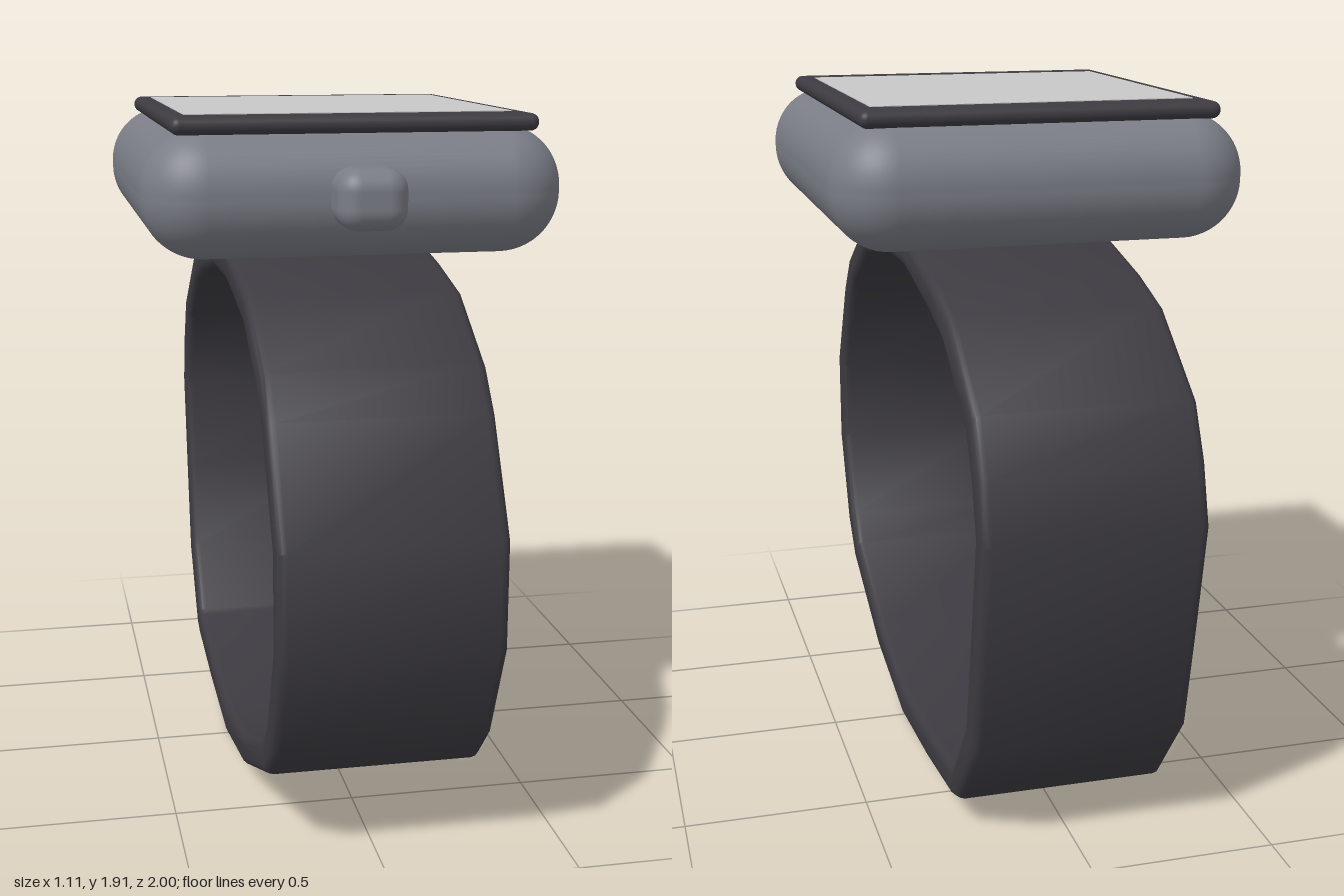
import * as THREE from 'three';
import { toCreasedNormals } from 'three/addons/utils/BufferGeometryUtils.js';
import { RoundedBoxGeometry } from 'three/addons/geometries/RoundedBoxGeometry.js';

const mat = (name, color) => {
  const m = new THREE.MeshStandardMaterial({ color });
  m.name = name;
  return m;
};

export function createModel() {
  const group = new THREE.Group();
  group.name = 'wristwatch';
  const metal = mat('greyMetal', 0x7a7d86);
  const rubber = mat('darkRubber', 0x3d3b41);
  const display = mat('paleDisplay', 0xc8c8c8);

  const add = (name, geometry, material, x = 0, y = 0, z = 0) => {
    const mesh = new THREE.Mesh(geometry, material);
    mesh.name = name;
    mesh.position.set(x, y, z);
    group.add(mesh);
    return mesh;
  };

  // Case, glass plate, display and crown
  add('case', new RoundedBoxGeometry(1.11, 0.335, 1.235, 8, 0.16), metal, 0, 1.715, 0.008);
  add('glass', new RoundedBoxGeometry(0.96, 0.045, 1.08, 4, 0.022), rubber, 0, 1.89, 0.013);
  add('display', new THREE.BoxGeometry(0.87, 0.004, 0.87), display, 0, 1.9125, 0.009);
  add('crown', new RoundedBoxGeometry(0.18, 0.155, 0.17, 6, 0.055), metal, 0, 1.717, 0.672);

  // Strap outline as (-z, y), clockwise from the top
  const outer = [
    [-0.50, 1.45], [-0.27, 1.50], [-0.12, 1.523], [0.14, 1.523], [0.45, 1.46], [0.63, 1.405],
    [0.885, 1.22], [0.955, 1.08], [1.0, 0.92], [0.945, 0.62], [0.885, 0.32], [0.71, 0.095],
    [0.645, 0.07], [0.345, 0.03], [0, 0.003], [-0.37, 0.07], [-0.77, 0.23], [-0.875, 0.34],
    [-1.0, 0.62], [-1.0, 0.91], [-0.84, 1.195], [-0.75, 1.30],
  ].map(([a, b]) => new THREE.Vector2(a, b));

  // Inner outline: each corner moved inward along its mitre
  const thickness = 0.09;
  const inner = outer.map((p, i) => {
    const n = outer.length;
    const d1 = p.clone().sub(outer[(i + n - 1) % n]).normalize();
    const d2 = outer[(i + 1) % n].clone().sub(p).normalize();
    const n1 = new THREE.Vector2(d1.y, -d1.x);
    const mitre = n1.clone().add(new THREE.Vector2(d2.y, -d2.x)).normalize();
    return p.clone().addScaledVector(mitre, thickness / mitre.dot(n1));
  });

  // Outline counter-clockwise, hole clockwise, so both walls face outward
  const width = 0.585, bevel = 0.025;
  const shape = new THREE.Shape(outer.reverse());
  shape.holes.push(new THREE.Path(inner));
  const strap = new THREE.ExtrudeGeometry(shape, {
    depth: width - 2 * bevel, bevelEnabled: true, bevelThickness: bevel,
    bevelSize: bevel, bevelOffset: -bevel, bevelSegments: 3,
  });
  strap.translate(0, 0, -width / 2 + bevel);
  strap.rotateY(Math.PI / 2);
  add('strap', toCreasedNormals(strap, 0.6), rubber);

  return group;
}
